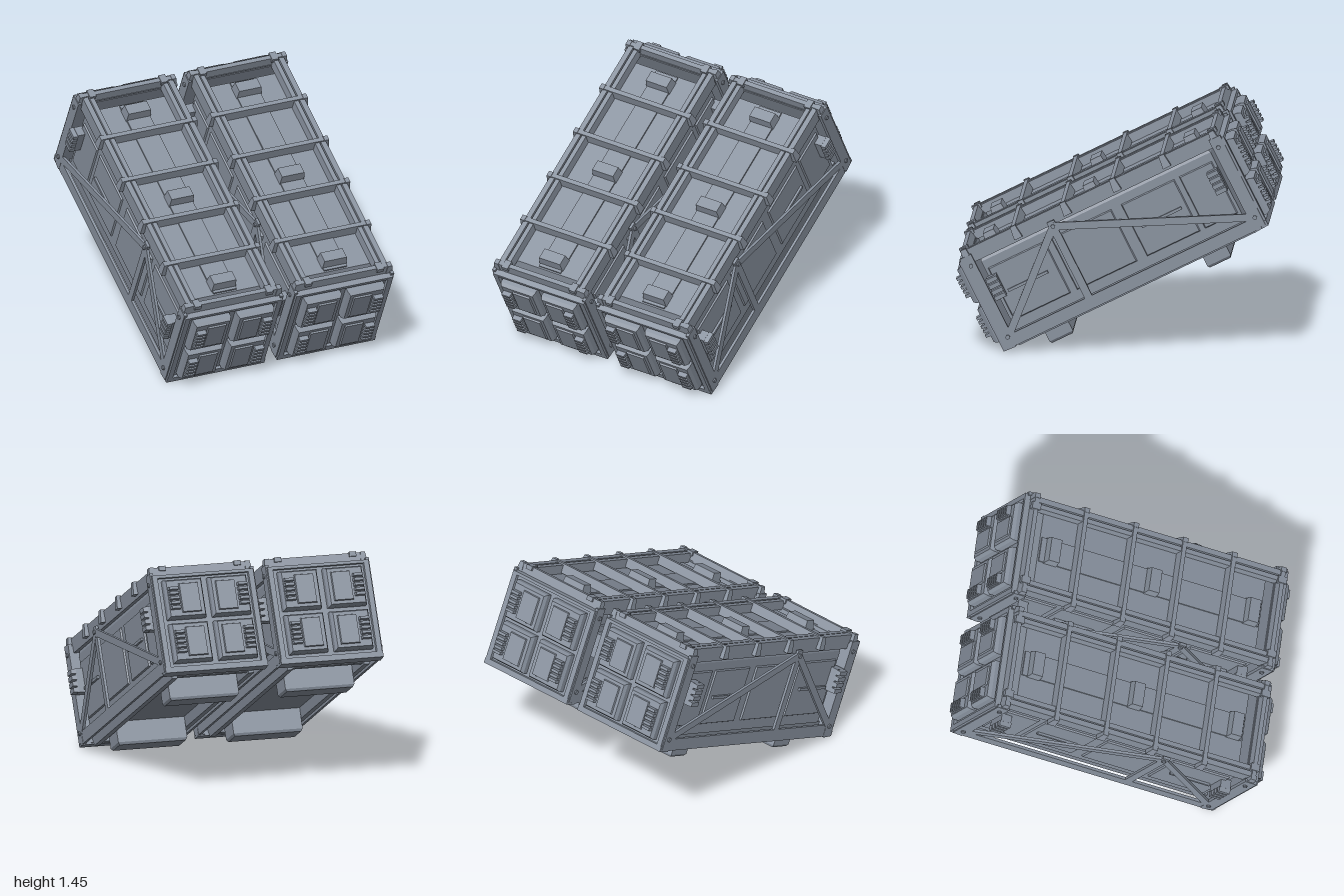
import * as THREE from 'three';

const steel = new THREE.MeshStandardMaterial({ color: 0x89929f, flatShading: true });
steel.name = 'blue grey steel';

// Box placed at its centre; taper [axis, sign, inset] shrinks one face to form a chamfer.
function box(parent, name, size, pos, taper) {
  const geo = new THREE.BoxGeometry(...size);
  if (taper) {
    const [axis, sign, inset] = taper;
    const p = geo.attributes.position;
    for (let i = 0; i < p.count; i++) {
      if (Math.sign(p.getComponent(i, axis)) !== sign) continue;
      for (let a = 0; a < 3; a++) {
        if (a === axis) continue;
        const c = p.getComponent(i, a);
        p.setComponent(i, a, c - Math.sign(c) * inset);
      }
    }
    geo.computeVertexNormals();
  }
  const mesh = new THREE.Mesh(geo, steel);
  mesh.name = name;
  mesh.position.set(...pos);
  parent.add(mesh);
  return mesh;
}

// Flat bar in the side plane between two [y, z] points
function brace(parent, name, x, a, b, width, depth) {
  const dy = b[0] - a[0], dz = b[1] - a[1];
  const bar = box(parent, name, [depth, width, Math.hypot(dy, dz)],
    [x, (a[0] + b[0]) / 2, (a[1] + b[1]) / 2]);
  bar.rotation.x = -Math.atan2(dy, dz);
}

// End cap with rim, four hatches and grip ribs; s is the end (+1 front, -1 back)
function buildEnd(s) {
  const end = new THREE.Group();
  end.name = s > 0 ? 'frontEnd' : 'backEnd';
  box(end, 'endSlab', [0.68, 0.63, 0.07], [0, -0.033, s * 0.88]);
  for (const m of [-1, 1])
    box(end, 'rimPost', [0.05, 0.645, 0.085], [m * 0.32, -0.0325, s * 0.8925], [2, s, 0.008]);
  box(end, 'rimTop', [0.69, 0.035, 0.085], [0, 0.2725, s * 0.8925], [2, s, 0.008]);
  box(end, 'rimBottom', [0.69, 0.045, 0.085], [0, -0.3345, s * 0.8925], [2, s, 0.004]);
  for (const m of [-1, 1]) {
    for (const y of [0.115, -0.168]) {
      box(end, 'hatchBase', [0.254, 0.254, 0.04], [m * 0.15, y, s * 0.932]);
      box(end, 'hatch', [0.254, 0.254, 0.024], [m * 0.15, y, s * 0.964], [2, s, 0.012]);
      box(end, 'hatchPlate', [0.13, 0.19, 0.012], [m * 0.122, y, s * 0.981], [2, s, 0.004]);
      for (let i = 0; i < 5; i++)
        box(end, 'gripRib', [0.066, 0.023, 0.045], [m * 0.23, y - 0.062 + i * 0.031, s * 0.985], [2, s, 0.003]);
    }
  }
  return end;
}

// Truss, panels and vents of one flank; s is the side (+1 left, -1 right)
function buildSide(s) {
  const side = new THREE.Group();
  side.name = s > 0 ? 'leftSide' : 'rightSide';
  const x = s * 0.335;
  box(side, 'topRail', [0.035, 0.095, 1.78], [s * 0.297, 0.2875, 0]);
  box(side, 'bottomRail', [0.018, 0.08, 1.78], [x, -0.31, 0]);
  for (const z of [-0.88, 0.88])
    box(side, 'endPost', [0.022, 0.64, 0.08], [x, -0.02, z]);
  box(side, 'middlePost', [0.018, 0.58, 0.05], [x, -0.02, 0.295]);
  brace(side, 'frontBrace', s * 0.337, [0.234, 0.293], [-0.275, 0.86], 0.048, 0.018);
  brace(side, 'backBrace', s * 0.337, [0.234, 0.293], [-0.27, -0.88], 0.048, 0.018);

  // bolts
  for (const [y, z] of [[0.232, 0.873], [-0.279, 0.869], [0.234, -0.876], [-0.27, -0.881], [0.234, 0.293]]) {
    const bolt = new THREE.Mesh(new THREE.CylinderGeometry(0.014, 0.014, 0.025, 10), steel);
    bolt.name = 'bolt';
    bolt.rotation.z = Math.PI / 2;
    bolt.position.set(s * 0.344, y, z);
    side.add(bolt);
  }

  // flank panels given by their z range
  for (const [z0, z1] of [[0.39, 0.79], [-0.08, 0.345], [-0.525, -0.15], [-0.79, -0.56]])
    box(side, 'sidePanel', [0.01, 0.37, z1 - z0], [s * 0.3, -0.02, (z0 + z1) / 2], [0, s, 0.006]);
  for (const z of [0.598, -0.347])
    box(side, 'sideBar', [0.02, 0.018, 0.28], [s * 0.31, -0.018, z]);

  // ribbed vents near both ends
  for (const z of [0.79, -0.77]) {
    box(side, 'ventBase', [0.06, 0.155, 0.07], [s * 0.325, 0.04, z]);
    for (let i = 0; i < 4; i++)
      box(side, 'ventRib', [0.032, 0.033, 0.08], [s * 0.368, -0.02 + i * 0.04, z], [0, s, 0.003]);
  }
  return side;
}

function buildPod() {
  const pod = new THREE.Group();
  box(pod, 'body', [0.59, 0.49, 1.62], [0, -0.025, 0]);
  box(pod, 'bodyTop', [0.59, 0.055, 1.62], [0, 0.2475, 0], [1, 1, 0.02]);
  box(pod, 'topStrip', [0.16, 0.012, 1.56], [0, 0.279, 0]);
  for (const s of [1, -1]) pod.add(buildEnd(s), buildSide(s));

  // cross straps wrapping over the top
  for (let i = 0; i < 6; i++) {
    const z = -0.875 + i * 0.35;
    box(pod, 'strap', [0.66, 0.06, 0.045], [0, 0.312, z], [1, 1, 0.008]);
    for (const m of [-1, 1])
      box(pod, 'strapEnd', [0.05, 0.085, 0.056], [m * 0.32, 0.3025, z], [1, 1, 0.01]);
  }
  // lengthwise rails above and below the body
  for (const m of [-1, 1]) {
    box(pod, 'topSkid', [0.04, 0.06, 1.78], [m * 0.256, 0.303, 0], [1, 1, 0.005]);
    for (const z of [-0.875, 0.875])
      box(pod, 'railClip', [0.045, 0.03, 0.06], [m * 0.25, 0.333, z]);
    box(pod, 'bottomSkid', [0.06, 0.1, 1.7], [m * 0.255, -0.32, 0], [1, -1, 0.012]);
  }
  // lifting blocks on top
  for (const z of [-0.7, 0.012, 0.717])
    box(pod, 'topBlock', [0.17, 0.065, 0.09], [0, 0.308, z], [1, 1, 0.008]);

  // underside panel, crossbars and feet
  box(pod, 'bottomPanel', [0.46, 0.04, 1.64], [0, -0.285, 0]);
  for (const z of [-0.81, 0.81])
    box(pod, 'bottomCrossbar', [0.5, 0.085, 0.06], [0, -0.315, z], [1, -1, 0.01]);
  for (const z of [-0.535, 0.58]) {
    box(pod, 'footBase', [0.46, 0.14, 0.165], [0, -0.37, z]);
    box(pod, 'foot', [0.46, 0.016, 0.165], [0, -0.448, z], [1, -1, 0.01]);
  }
  return pod;
}

export function createModel() {
  const model = new THREE.Group();
  model.name = 'tiltedContainerPair';
  for (const s of [1, -1]) {
    const pod = buildPod();
    pod.name = s > 0 ? 'leftPod' : 'rightPod';
    pod.rotation.x = THREE.MathUtils.degToRad(26.6);
    pod.position.set(s * 0.385, 0.735, 0.012);
    model.add(pod);
  }
  return model;
}
